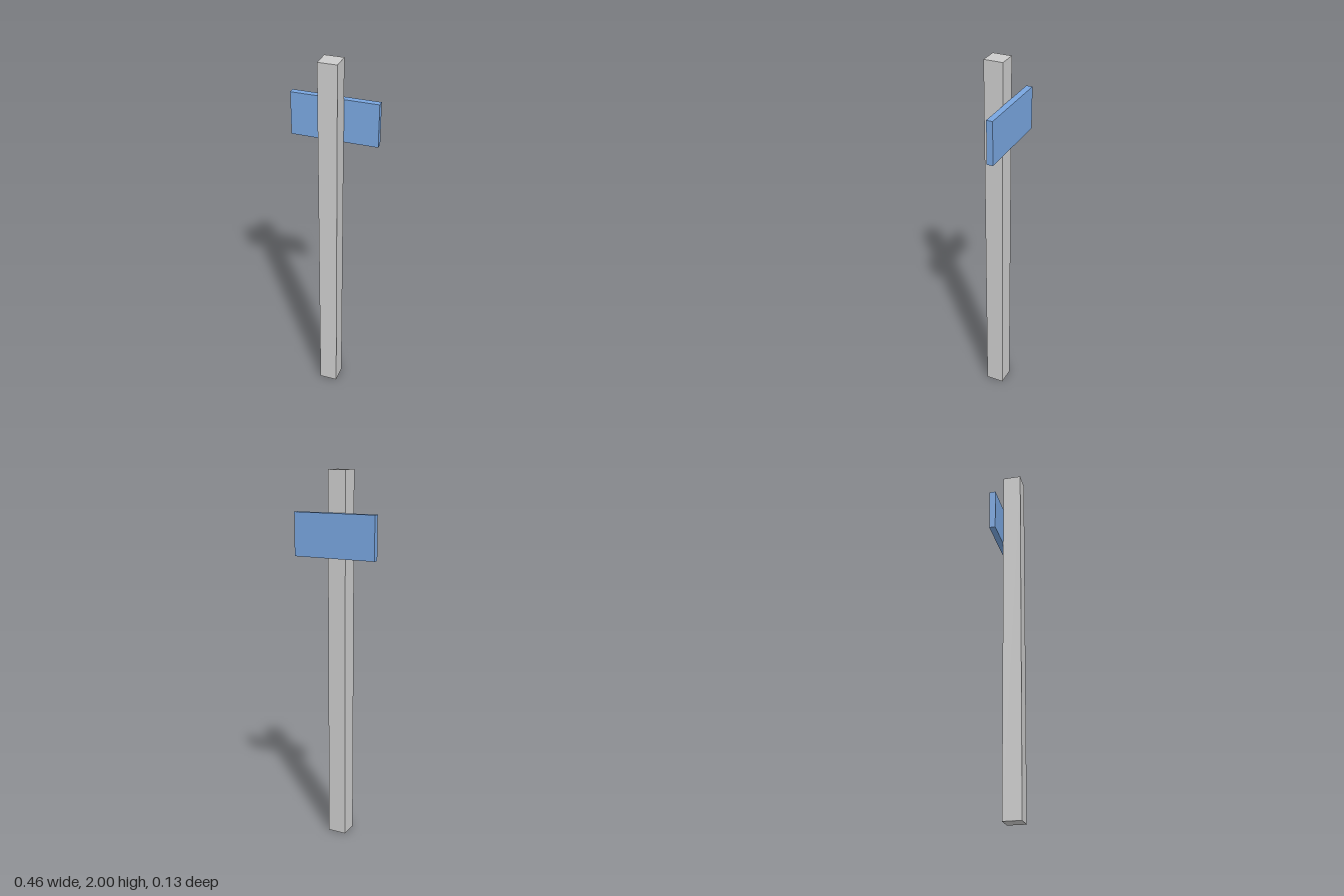
import * as THREE from 'three';

// Box named after its part, placed by its centre
function box(name, size, centre, color) {
  const mesh = new THREE.Mesh(
    new THREE.BoxGeometry(...size),
    new THREE.MeshStandardMaterial({ color })
  );
  mesh.name = name;
  mesh.position.set(...centre);
  return mesh;
}

export function createModel() {
  const model = new THREE.Group();
  model.name = 'signpost';

  // Square upright standing on the ground
  const postDepth = 0.1, postZ = 0.0167;
  model.add(box('post', [0.1, 2, postDepth], [0, 1, postZ], 0xcccccc));

  // Thin board fixed flush against the back of the post
  const boardDepth = 0.0333;
  const boardZ = postZ - (postDepth + boardDepth) / 2;
  model.add(box('signBoard', [0.46, 0.23, boardDepth], [0, 1.67, boardZ], 0x78a5de));

  return model;
}
